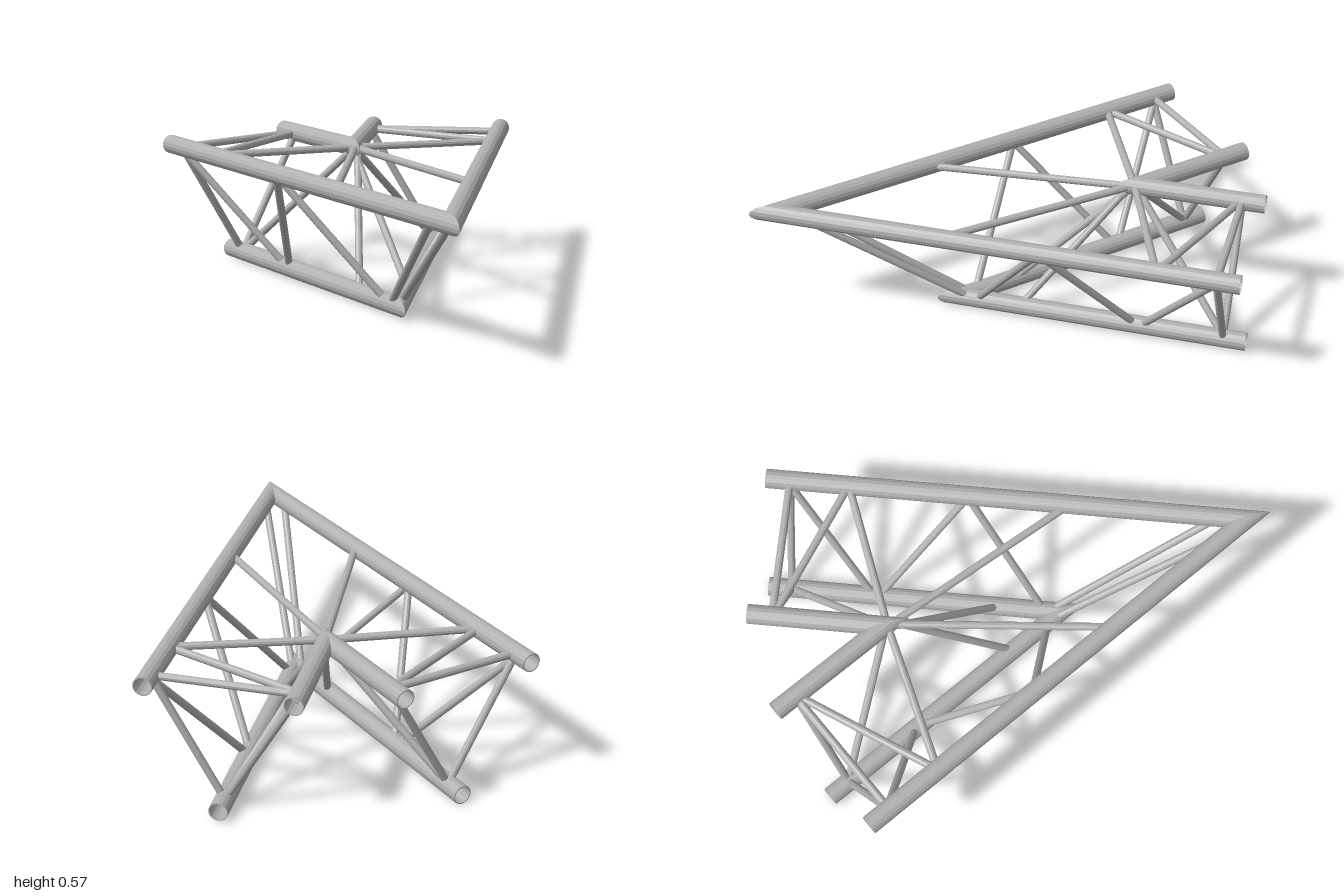
import * as THREE from 'three';
import { mergeGeometries, toCreasedNormals } from 'three/addons/utils/BufferGeometryUtils.js';

const R = 0.0385, WALL = 0.004, BRACE_R = 0.0155, LENGTH = 1.907;
const MITRE = 1 / Math.tan(Math.PI / 8);
const TOP = 0.531, LOW = R;

// The three chords of the triangular truss: height, z and x of the mitred corner
const chords = {
  outer: { y: TOP, z: 0.668, x: 0.907 },
  lower: { y: LOW, z: 0.3835, x: 0.22 },
  inner: { y: TOP, z: 0.099, x: -0.467 },
};

// Braces of one arm as chord / x position pairs
const braces = [
  // end frame
  ['outer', -0.905, 'lower', -0.905],
  ['inner', -0.905, 'lower', -0.905],
  ['inner', -0.905, 'outer', -0.905],
  // outer face
  ['outer', -0.92, 'lower', -0.56],
  ['lower', -0.54, 'outer', -0.19],
  ['outer', -0.2, 'lower', 0.15],
  ['lower', 0.17, 'outer', 0.8],
  // inner face
  ['lower', -0.91, 'inner', -0.46],
  ['inner', -0.44, 'lower', -0.04],
  // top face
  ['inner', -0.9, 'outer', -0.67],
  ['outer', -0.67, 'inner', -0.455],
  ['inner', -0.455, 'outer', 0.21],
];

// Hollow tube running along -x from a mitred end at the origin
function chordGeometry(length, side) {
  const p = (r, y) => new THREE.Vector2(r, y);
  const ri = R - WALL;
  const walls = [
    [p(R, -length), p(R, 0)],
    [p(ri, 0), p(ri, -length)],
    [p(ri, -length), p(R, -length)],
  ];
  const g = mergeGeometries(walls.map((w) => new THREE.LatheGeometry(w, 16)));
  g.rotateZ(-Math.PI / 2);
  const pos = g.attributes.position;
  for (let i = 0; i < pos.count; i++) {
    if (pos.getX(i) > -1e-4) pos.setX(i, side * pos.getZ(i) * MITRE);
  }
  return toCreasedNormals(g, 0.1);
}

// Point on a chord, on the straight arm or reflected onto the angled arm
function node(name, x, angled) {
  const c = chords[name];
  if (!angled) return new THREE.Vector3(x, c.y, c.z);
  const d = (c.x - x) * Math.SQRT1_2;
  return new THREE.Vector3(c.x - d, c.y, c.z - d);
}

export function createModel() {
  const model = new THREE.Group();
  model.name = 'cornerTruss';
  const metal = new THREE.MeshStandardMaterial({ color: 0xb0b0b0, flatShading: true });
  metal.name = 'aluminium grey';

  for (const angled of [false, true]) {
    const arm = new THREE.Group();
    arm.name = angled ? 'angledArm' : 'straightArm';

    // Main chords
    for (const [name, c] of Object.entries(chords)) {
      const tube = new THREE.Mesh(chordGeometry(LENGTH + (c.x - 0.907), angled ? -1 : 1), metal);
      // the angled arm ends square to its own axis
      if (angled) tube.rotation.y = -Math.PI / 4;
      tube.position.set(c.x, c.y, c.z);
      tube.name = name + 'Chord';
      arm.add(tube);
    }

    // Lattice braces, trimmed to end just inside the chord walls
    for (const [n1, x1, n2, x2] of braces) {
      const a = node(n1, x1, angled), b = node(n2, x2, angled);
      const dir = b.clone().sub(a);
      const len = dir.length() - 0.06;
      const brace = new THREE.Mesh(new THREE.CylinderGeometry(BRACE_R, BRACE_R, len, 12), metal);
      brace.position.copy(a).add(b).multiplyScalar(0.5);
      brace.quaternion.setFromUnitVectors(new THREE.Vector3(0, 1, 0), dir.normalize());
      brace.name = 'brace';
      arm.add(brace);
    }
    model.add(arm);
  }
  return model;
}
